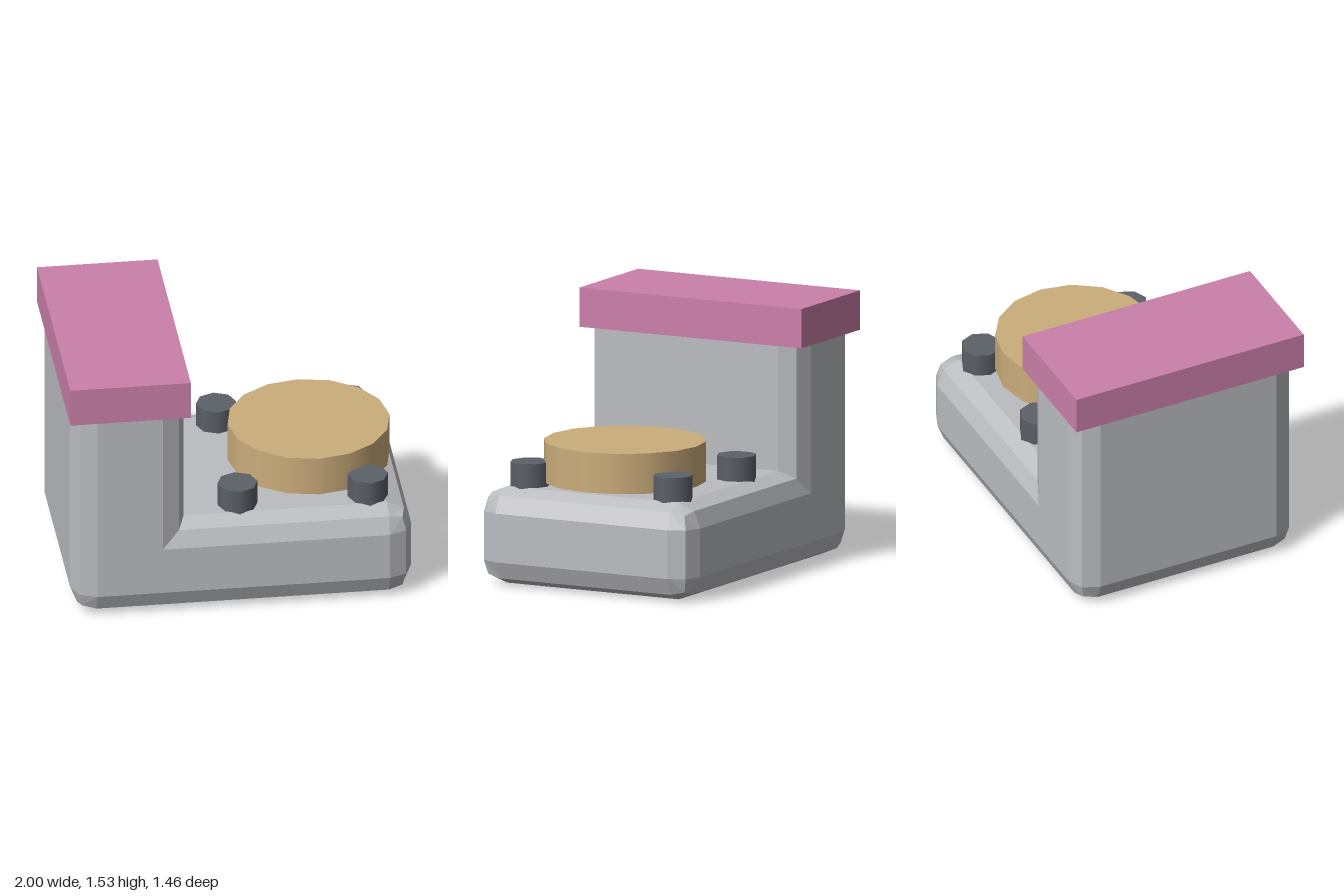
import * as THREE from 'three';

const R = 0.14;          // bevel radius of the body
const HALF = 0.705;      // half depth of the body
const TOP = 1.3;         // underside of the cap
const H = Math.SQRT1_2, C = 1 / Math.sqrt(3);

// Outline of the L profile at bevel level 0 (side), 1 (mid bevel) or 2 (flat face)
function outline(level, side) {
  const r = [1, H, 0][level] * R;
  const z = side * (HALF - R + [0, H, 1][level] * R);
  const corner = (x, y, sx, sy, flip) => {
    const m = [H, C, 0][level] * R;
    const mz = level === 1 ? side * (HALF - R + C * R) : z;
    const pts = [[x + sx * r, y, z], [x + sx * m, y + sy * m, mz], [x, y + sy * r, z]];
    return flip ? pts.reverse() : pts;
  };
  return [
    [-0.84 - r, TOP, z],
    ...corner(-0.84, 0.14, -1, -1, false),
    ...corner(0.86, 0.14, 1, -1, true),
    ...corner(0.86, 0.425, 1, 1, false),
    [-0.46 + r, 0.425 + r, z],
    [-0.46 + r, TOP, z],
  ];
}

// L-shaped body with two-step bevels, skinned ring by ring from back to front
function bodyGeometry() {
  const rings = [[2, -1], [1, -1], [0, -1], [0, 1], [1, 1], [2, 1]].map(([l, s]) => outline(l, s));
  const pos = [];
  const quad = (a, b, c, d) => pos.push(...a, ...b, ...c, ...a, ...c, ...d);
  for (let j = 0; j < rings.length - 1; j++) {
    for (let i = 0; i < rings[j].length - 1; i++) {
      quad(rings[j][i], rings[j][i + 1], rings[j + 1][i + 1], rings[j + 1][i]);
    }
  }
  // flat front and back faces, each as foot plus tower
  const rect = (x0, x1, y0, y1) => {
    quad([x0, y0, HALF], [x1, y0, HALF], [x1, y1, HALF], [x0, y1, HALF]);
    quad([x1, y0, -HALF], [x0, y0, -HALF], [x0, y1, -HALF], [x1, y1, -HALF]);
  };
  rect(-0.84, 0.86, 0.14, 0.425);
  rect(-0.84, -0.46, 0.425, TOP);
  const g = new THREE.BufferGeometry();
  g.setAttribute('position', new THREE.Float32BufferAttribute(pos, 3));
  g.computeVertexNormals();
  return g;
}

export function createModel() {
  const mat = (name, color, flatShading = false) => {
    const m = new THREE.MeshStandardMaterial({ color, flatShading });
    m.name = name;
    return m;
  };
  const grey = mat('light grey', 0xbcbdc1, true);
  const pink = mat('pink', 0xcb80aa);
  const tan = mat('tan', 0xcbad7b);
  const dark = mat('dark grey', 0x5c6068);

  const model = new THREE.Group();
  const add = (name, geometry, material, x, y, z) => {
    const mesh = new THREE.Mesh(geometry, material);
    mesh.name = name;
    mesh.position.set(x, y, z);
    model.add(mesh);
  };

  add('body', bodyGeometry(), grey, 0, 0, 0);
  add('cap', new THREE.BoxGeometry(0.7, 0.23, 1.46), pink, -0.65, TOP + 0.115, 0);
  add('disc', new THREE.CylinderGeometry(0.47, 0.47, 0.235, 16), tan, 0.48, 0.7075, 0);

  // four studs around the disc
  const stud = new THREE.CylinderGeometry(0.117, 0.117, 0.2, 8);
  for (const x of [0.005, 0.762]) {
    for (const z of [-0.472, 0.468]) add('stud', stud, dark, x, 0.605, z);
  }
  return model;
}
